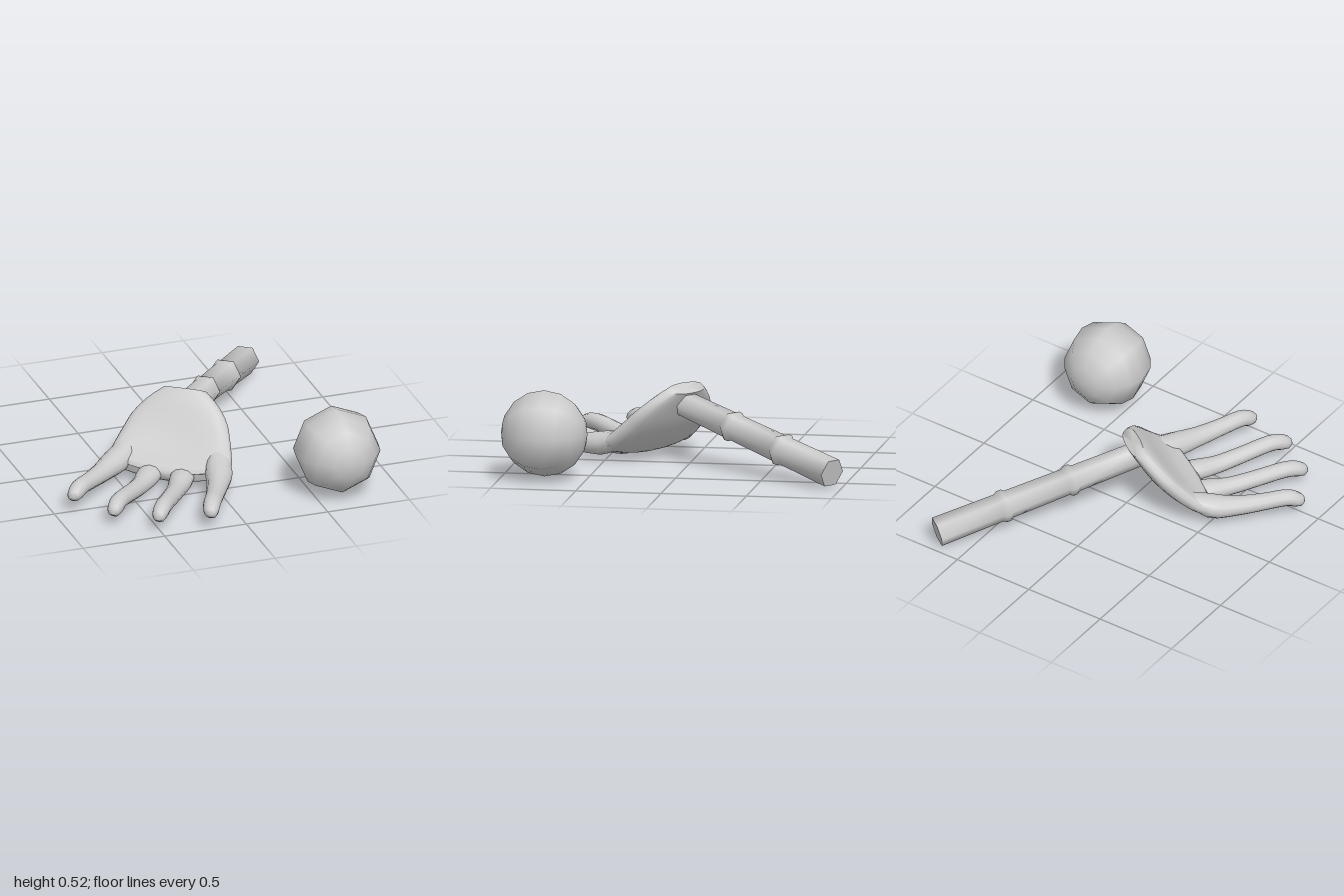
import * as THREE from 'three';
import { toCreasedNormals } from 'three/addons/utils/BufferGeometryUtils.js';

const material = new THREE.MeshStandardMaterial({ color: 0xcccccc });

function addMesh(parent, name, geometry) {
  const mesh = new THREE.Mesh(geometry, material);
  mesh.name = name;
  parent.add(mesh);
  return mesh;
}

// Smooth loft along z. Each row: [z, y, x, half width, half thickness, edge lift]
function loft(rows, steps, sides, fullness = 1, bow = 0) {
  const path = new THREE.CatmullRomCurve3(
    rows.map(([z, y, x]) => new THREE.Vector3(x, y, z)), false, 'catmullrom');
  const size = new THREE.CatmullRomCurve3(
    rows.map(([, , , w, t, lift = 0]) => new THREE.Vector3(w, t, lift)), false, 'catmullrom');
  const positions = [], index = [];
  for (let i = 0; i <= steps; i++) {
    const t = i / steps;
    const c = path.getPoint(t), s = size.getPoint(t), d = path.getTangent(t);
    const len = Math.hypot(d.y, d.z);
    const ny = d.z / len, nz = -d.y / len;
    for (let j = 0; j < sides; j++) {
      const a = (j / sides) * Math.PI * 2;
      const k = Math.cos(a), sn = Math.sin(a);
      const off = Math.sign(sn) * Math.pow(Math.abs(sn), fullness) * s.y;
      positions.push(
        c.x + k * s.x,
        c.y + off * ny + s.z * k * k,
        c.z + off * nz - bow * t * t * t * k * k);
    }
  }
  for (let i = 0; i < steps; i++) {
    for (let j = 0; j < sides; j++) {
      const n = (j + 1) % sides;
      const a = i * sides + j, b = i * sides + n;
      index.push(a, b, a + sides, b, b + sides, a + sides);
    }
  }
  // end caps
  const first = path.getPoint(0), last = path.getPoint(1);
  const start = positions.length / 3, last0 = steps * sides;
  positions.push(first.x, first.y, first.z, last.x, last.y, last.z);
  for (let j = 0; j < sides; j++) {
    const n = (j + 1) % sides;
    index.push(start, n, j, start + 1, last0 + j, last0 + n);
  }
  const g = new THREE.BufferGeometry();
  g.setAttribute('position', new THREE.Float32BufferAttribute(positions, 3));
  g.setIndex(index);
  return toCreasedNormals(g, 1.2);
}

export function createModel() {
  const model = new THREE.Group();
  model.name = 'handScratcherWithBall';

  // Scratcher lies diagonally; its own z runs from handle to fingertips
  const scratcher = new THREE.Group();
  scratcher.name = 'handScratcher';
  scratcher.position.set(-0.006, 0, -0.006);
  scratcher.rotation.y = -0.629;
  model.add(scratcher);

  // Cupped palm, steep at the heel and flat at the finger roots
  addMesh(scratcher, 'palm', loft([
    [0.037, 0.436, 0, 0.13, 0.045, 0],
    [0.09, 0.362, 0, 0.22, 0.056, 0.012],
    [0.15, 0.272, 0, 0.285, 0.062, 0.035],
    [0.21, 0.195, 0, 0.318, 0.063, 0.05],
    [0.28, 0.127, 0, 0.347, 0.062, 0.055],
    [0.35, 0.086, 0, 0.367, 0.06, 0.045],
    [0.41, 0.069, 0, 0.365, 0.05, 0.04],
    [0.44, 0.063, 0, 0.35, 0.025, 0.035],
  ], 21, 24, 0.6, 0.05));

  // Two mirrored pairs of fingers with drooping tips, rooted inside the palm
  const outer = [
    [0.24, 0.2, 0.265, 0.045, 0.01],
    [0.385, 0.112, 0.305, 0.083, 0.066],
    [0.54, 0.096, 0.343, 0.065, 0.058],
    [0.7, 0.105, 0.374, 0.054, 0.05],
    [0.83, 0.118, 0.397, 0.052, 0.048],
    [0.895, 0.1, 0.408, 0.046, 0.044],
    [0.923, 0.08, 0.413, 0.03, 0.03],
    [0.93, 0.073, 0.415, 0.006, 0.006],
  ];
  const inner = [
    [0.32, 0.09, 0.09, 0.045, 0.01],
    [0.44, 0.064, 0.098, 0.072, 0.053],
    [0.58, 0.056, 0.108, 0.056, 0.052],
    [0.75, 0.08, 0.12, 0.052, 0.048],
    [0.92, 0.108, 0.132, 0.05, 0.047],
    [1.005, 0.095, 0.135, 0.046, 0.044],
    [1.04, 0.072, 0.136, 0.03, 0.03],
    [1.047, 0.064, 0.136, 0.006, 0.006],
  ];
  for (const [side, label] of [[1, 'left'], [-1, 'right']]) {
    for (const [rows, kind] of [[outer, 'OuterFinger'], [inner, 'InnerFinger']]) {
      const mirrored = rows.map(([z, y, x, w, t]) => [z, y, x * side, w, t]);
      addMesh(scratcher, label + kind, loft(mirrored, 21, 12));
    }
  }

  // Six-sided tapering handle with two raised joints
  const length = 1.26;
  const radius = (s) => 0.075 + 0.013 * (s / length);
  const profile = [[0, 0], [radius(0), 0]];
  for (const s of [0.425, 0.842]) {
    profile.push([radius(s), s - 0.032], [radius(s) + 0.013, s - 0.014],
      [radius(s) + 0.013, s + 0.014], [radius(s), s + 0.032]);
  }
  profile.push([radius(length), length], [0, length]);
  const handle = addMesh(scratcher, 'handle', toCreasedNormals(
    new THREE.LatheGeometry(profile.map(([r, s]) => new THREE.Vector2(r, s)), 6, Math.PI / 2), 1.2));
  handle.position.set(0, 0.345, 0.07);
  handle.rotation.x = Math.atan2(-1.234, -0.252);

  // Ball with eight segments around the front-to-back axis
  const ball = addMesh(model, 'ball', new THREE.SphereGeometry(0.253, 8, 8).rotateX(Math.PI / 2));
  ball.position.set(0.645, 0.268, 0.745);

  return model;
}
